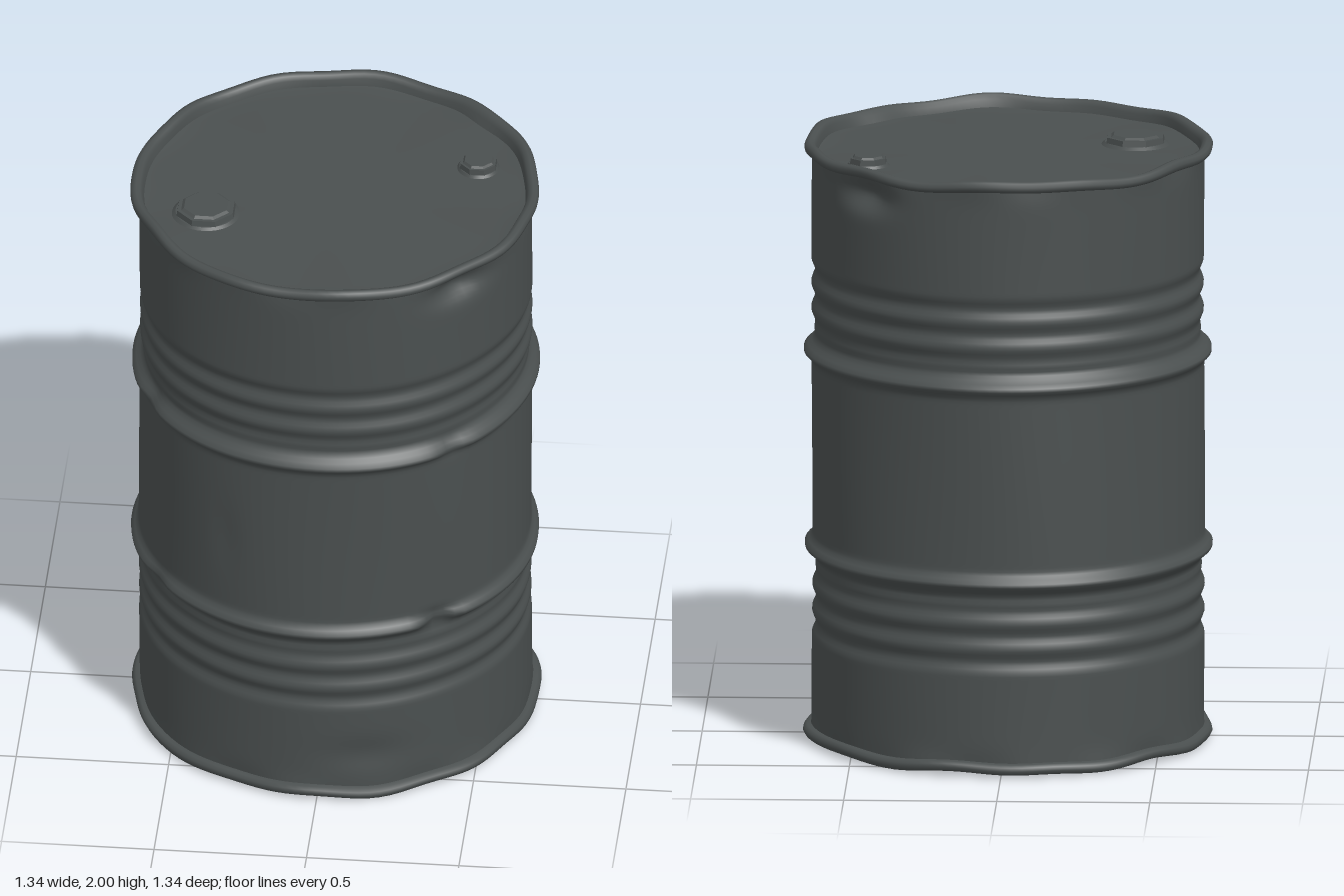
import * as THREE from 'three';
import { mergeVertices } from 'three/addons/utils/BufferGeometryUtils.js';

const SEGMENTS = 120;
const bump = (d, w) => Math.exp(-(d * d) / (w * w));

// Dents: direction around the drum, height, depth, angular width, vertical width
const DENTS = [
  [0.80, 1.90, 0.045, 0.16, 0.045],
  [2.36, 1.90, 0.045, 0.15, 0.045],
  [0.64, 0.64, 0.04, 0.08, 0.03],
  [0.72, 1.30, 0.018, 0.08, 0.03],
  [-1.1, 1.31, 0.02, 0.09, 0.03],
  [-1.0, 0.64, 0.015, 0.09, 0.03],
  [0.25, 0.16, 0.012, 0.2, 0.06],
  [-0.5, 0.95, 0.006, 0.06, 0.12],
];

// Moves a point of the perfect drum to its battered position
function batter(v) {
  const r = Math.hypot(v.x, v.z);
  const edge = THREE.MathUtils.smoothstep(r, 0.5, 0.62);
  if (edge === 0) return;
  const a = Math.atan2(v.x, v.z);
  const endness = bump(v.y - 1.98, 0.05) + bump(v.y - 0.02, 0.05);
  const s = v.y > 1 ? 0 : 1.7;
  let dr = 0.002 * Math.sin(5 * a + 4 * v.y);
  dr += endness * (0.004 * Math.sin(7 * a + s) + 0.003 * Math.sin(13 * a + 2 * s));
  for (const [da, dy, depth, wa, wy] of DENTS) {
    const diff = Math.atan2(Math.sin(a - da), Math.cos(a - da));
    dr -= depth * bump(diff, wa) * bump(v.y - dy, wy);
  }
  const k = (r + dr * edge) / r;
  v.x *= k;
  v.z *= k;
  v.y += edge * endness * (0.005 * Math.sin(6 * a + 1 + s) + 0.004 * Math.sin(11 * a + s));
}

// Revolves a profile, welds its seam, and batters it
function turned(name, profile, material) {
  let geo = new THREE.LatheGeometry(profile.map(([x, y]) => new THREE.Vector2(x, y)), SEGMENTS);
  geo.deleteAttribute('uv');
  geo.deleteAttribute('normal');
  geo = mergeVertices(geo, 1e-5);
  const pos = geo.attributes.position;
  const v = new THREE.Vector3();
  for (let i = 0; i < pos.count; i++) {
    batter(v.fromBufferAttribute(pos, i));
    pos.setXYZ(i, v.x, v.y, v.z);
  }
  geo.computeVertexNormals();
  const mesh = new THREE.Mesh(geo, material);
  mesh.name = name;
  return mesh;
}

// Wall radius: two rolling hoops, each with three shallow ribs beyond it
function wallRadius(y) {
  let r = 0.641;
  for (const [hoop, dir] of [[1.297, 1], [0.643, -1]]) {
    r += 0.027 * bump(y - hoop, 0.02);
    const t = (y - hoop) * dir;
    if (t > 0.05 && t < 0.305) r -= 0.0065 * (1 - Math.cos((t - 0.05) / 0.085 * 2 * Math.PI));
    r -= 0.013 * bump(t - 0.05, 0.018);
  }
  return r;
}

// Rolled rim as height from the drum's end, from the wall round to the inside
const RIM = [
  [0.638, 0.047], [0.655, 0.045], [0.665, 0.037], [0.667, 0.025], [0.661, 0.013],
  [0.648, 0.009], [0.635, 0.013], [0.627, 0.027], [0.622, 0.053],
];

// Threaded plug with a faceted raised cap
function bung(name, x, z, radius, material) {
  const group = new THREE.Group();
  group.name = name;
  const add = (part, top, bottom, h, y, sides) => {
    let geo = new THREE.CylinderGeometry(top, bottom, h, sides);
    if (sides < 12) {
      geo = geo.toNonIndexed();
      geo.computeVertexNormals();
    }
    const mesh = new THREE.Mesh(geo, material);
    mesh.name = part;
    mesh.position.y = y;
    mesh.rotation.y = Math.PI / 8;
    group.add(mesh);
  };
  add('bungCollar', radius * 0.98, radius * 1.1, 0.01, 0.004, 32);
  add('bungCap', radius * 0.96, radius, 0.022, 0.016, 8);
  add('bungTop', radius * 0.74, radius * 0.85, 0.008, 0.03, 8);
  group.position.set(x, 1.945, z);
  return group;
}

export function createModel() {
  const steel = new THREE.MeshStandardMaterial({ color: 0x4a4f4f });
  steel.name = 'dark grey steel';
  const drum = new THREE.Group();
  drum.name = 'drum';

  // Ribbed wall
  const wall = [];
  for (let i = 0; i <= 160; i++) {
    const y = 0.03 + (1.94 * i) / 160;
    wall.push([wallRadius(y), y]);
  }
  drum.add(turned('wall', wall, steel));

  // Rolled rims
  drum.add(turned('topRim', RIM.map(([r, h]) => [r, 2 - h]), steel));
  drum.add(turned('bottomRim', RIM.map(([r, h]) => [r, h]).reverse(), steel));

  // Recessed end plates
  const plate = [[0.624, 0.05], [0.6, 0.054], [0.55, 0.055], [0.3, 0.055], [0, 0.055]];
  drum.add(turned('lid', plate.map(([r, h]) => [r, 2 - h]), steel));
  drum.add(turned('base', plate.map(([r, h]) => [r, h - 0.015]).reverse(), steel));

  // Filler plugs on the lid
  drum.add(bung('largeBung', -0.41, 0.155, 0.102, steel));
  drum.add(bung('smallBung', 0.45, -0.195, 0.064, steel));
  return drum;
}
